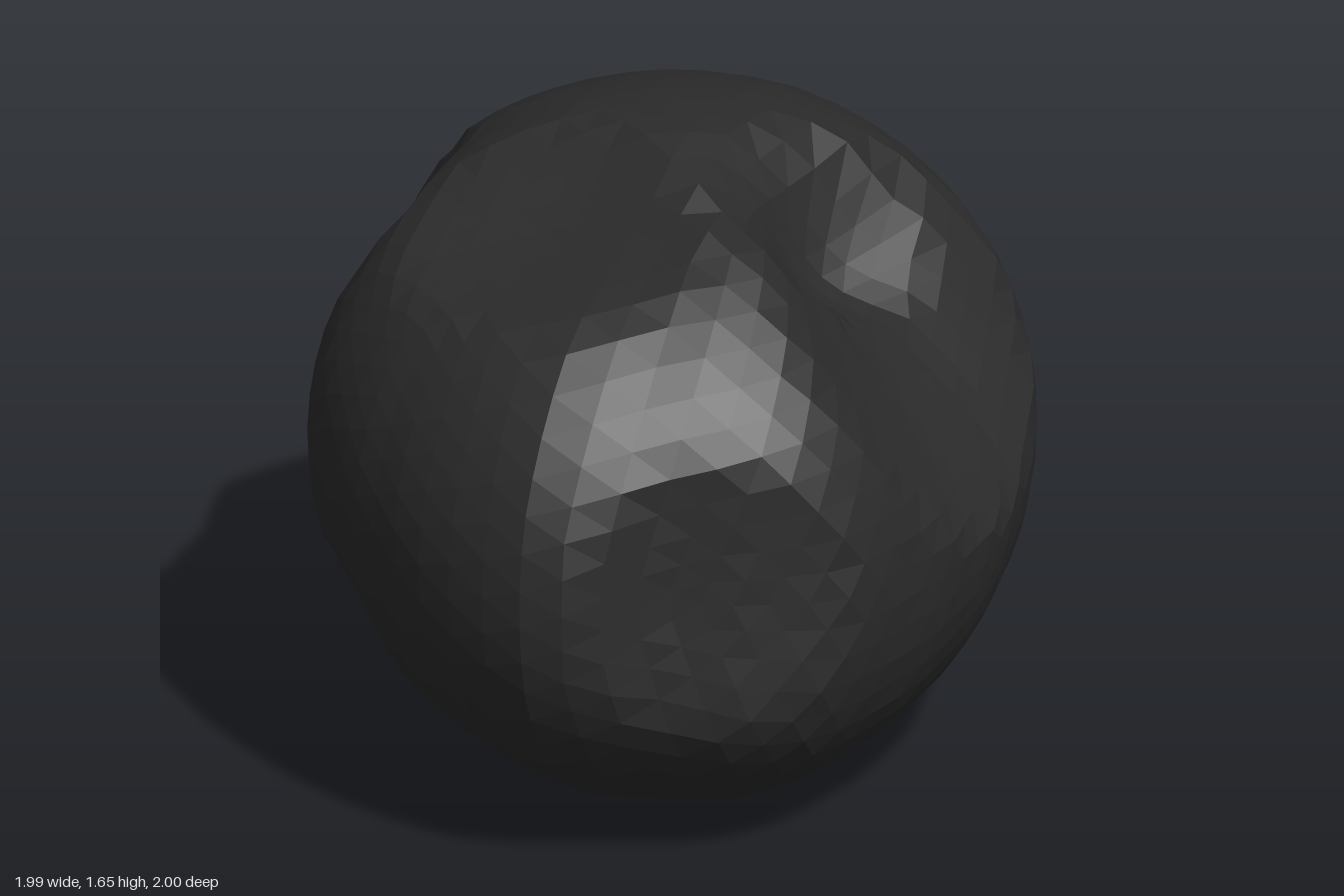
import * as THREE from 'three';

const TAU = Math.PI * 2;

// Plan outline at the equator, as [x, z] points around the rock
const PLAN = [
  [-1, -0.1], [-0.98, -0.35], [-0.89, -0.6], [-0.73, -0.79], [-0.5, -0.95], [-0.2, -1],
  [0.1, -0.96], [0.4, -0.82], [0.6, -0.63], [0.8, -0.35], [0.93, -0.05], [1.01, 0.27],
  [0.97, 0.47], [0.85, 0.65], [0.72, 0.85], [0.65, 0.92], [0.5, 0.97], [0.1, 0.985],
  [-0.15, 0.94], [-0.4, 0.84], [-0.6, 0.66], [-0.8, 0.4], [-0.97, 0.13],
].map(([x, z]) => ({ a: (Math.atan2(z, x) + TAU) % TAU, r: Math.hypot(x, z) }))
  .sort((p, q) => p.a - q.a);

// Radius of the outline at an angle
function planRadius(angle) {
  const a = (angle + TAU) % TAU;
  let j = PLAN.findIndex((p) => p.a > a);
  if (j < 0) j = 0;
  const p = PLAN[(j + PLAN.length - 1) % PLAN.length], q = PLAN[j];
  const span = (q.a - p.a + TAU) % TAU;
  const t = ((a - p.a + TAU) % TAU) / span;
  return p.r + (q.r - p.r) * t;
}

// Dents: centre relative to the middle of the rock, reach along x, y, z, and depth
const DENTS = [
  { at: [0.58, 0.4, -0.38], reach: [0.55, 0.55, 0.55], depth: 0.2 },    // large upper crater
  { at: [0.34, 0.64, -0.25], reach: [0.28, 0.45, 0.44], depth: 0.13 },  // steep trough in it
  { at: [0.87, -0.05, 0.49], reach: [0.35, 0.36, 0.36], depth: 0.1 },   // front left hollow
  { at: [-0.73, -0.03, -0.62], reach: [0.36, 0.28, 0.36], depth: 0.11 }, // back right hollow
  { at: [0.08, 0.67, 0.43], reach: [0.45, 0.4, 0.38], depth: 0.12 },    // shelf on the top
  { at: [-0.66, 0.4, 0.4], reach: [0.32, 0.3, 0.36], depth: 0.07 },     // front right scoop
  { at: [-0.22, -0.34, 0.86], reach: [0.22, 0.14, 0.22], depth: 0.04 }, // small front nick
  { at: [-0.35, -0.72, 0.3], reach: [0.45, 0.25, 0.3], depth: 0.03 },   // underside hollow
  { at: [0.1, -0.42, -0.74], reach: [0.4, 0.2, 0.3], depth: 0.02 },     // lower back flat
];

// Moves a point of the unit sphere onto the rock's surface
function shapePoint(v) {
  const flat = Math.hypot(v.x, v.z);
  const angle = Math.atan2(v.z, v.x);
  // The underside is a little fuller and leans more than the top
  const power = v.y > 0 ? 2.02 : 2.14;
  const lean = 0.08 - 0.03 * v.y;
  const k = Math.pow(flat ** power + Math.abs(v.y) ** power, -1 / power);
  const r = planRadius(angle) * flat * k;
  v.set(Math.cos(angle) * r, v.y * k * 0.82, Math.sin(angle) * r);
  v.y -= lean * v.x;

  let push = 0;
  for (const { at, reach, depth } of DENTS) {
    const t = Math.hypot((v.x - at[0]) / reach[0], (v.y - at[1]) / reach[1], (v.z - at[2]) / reach[2]);
    if (t < 1) push += depth * (1 - t * t);
  }
  return v.addScaledVector(v.clone().normalize(), -push);
}

export function createModel() {
  const group = new THREE.Group();
  group.name = 'rock';

  const geometry = new THREE.IcosahedronGeometry(1, 10);
  const pos = geometry.attributes.position;
  const v = new THREE.Vector3();
  for (let i = 0; i < pos.count; i++) {
    shapePoint(v.fromBufferAttribute(pos, i));
    pos.setXYZ(i, v.x, v.y, v.z);
  }

  // Rest on the ground
  geometry.computeBoundingBox();
  geometry.translate(0, -geometry.boundingBox.min.y, 0);
  geometry.computeVertexNormals();

  const body = new THREE.Mesh(
    geometry,
    new THREE.MeshStandardMaterial({ color: 0x2b2b2b, flatShading: true }),
  );
  body.name = 'rockBody';
  group.add(body);
  return group;
}
